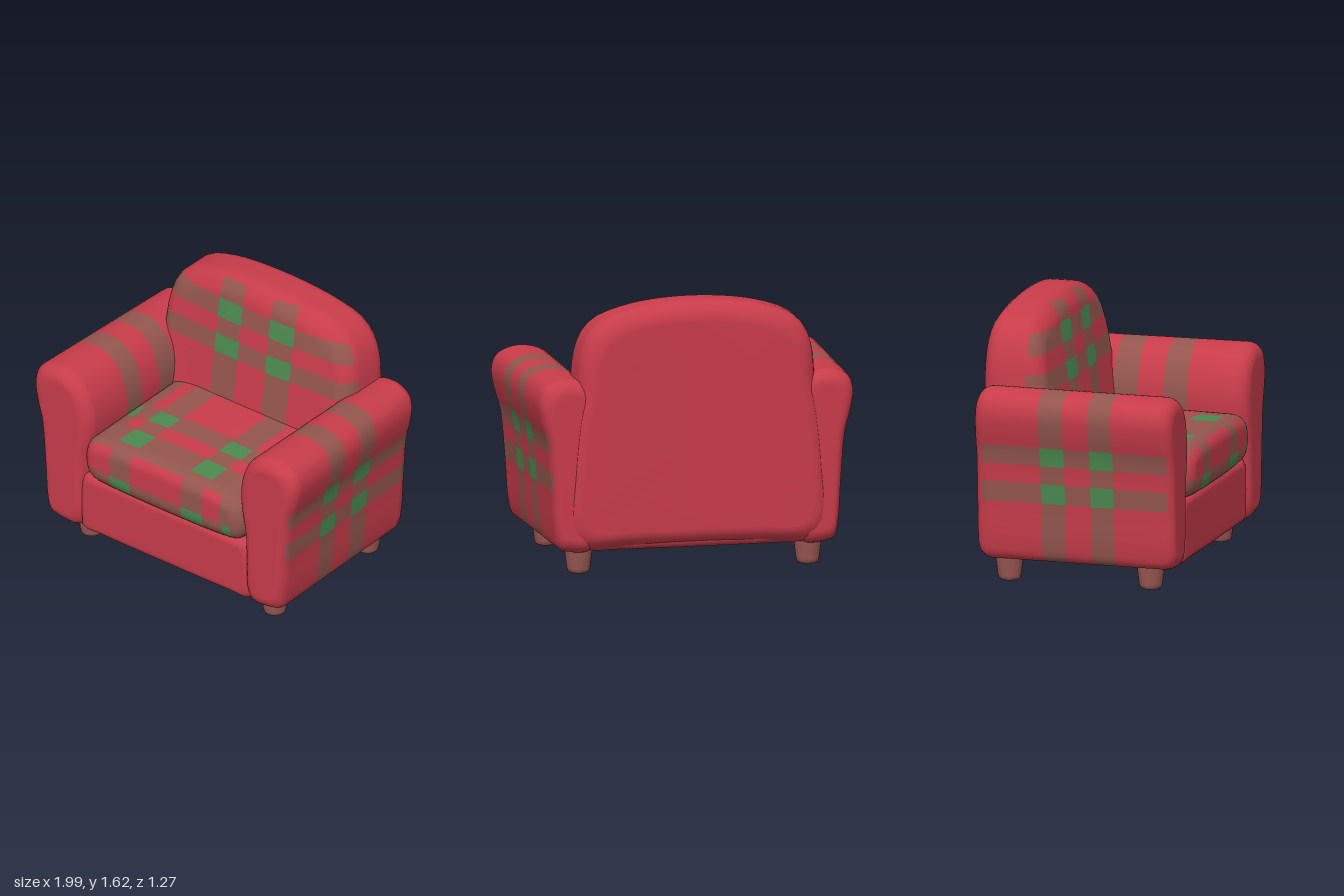
import * as THREE from 'three';
import { mergeVertices } from 'three/addons/utils/BufferGeometryUtils.js';

const mat = (name, color) => Object.assign(new THREE.MeshStandardMaterial({ color }), { name });
const inside = (v, bands) => bands.some(([a, b]) => v > a && v < b);

// Mirror a right-hand outline (bottom to top) into a closed one
const mirrored = (half) => [...half, ...half.map(([x, y]) => [-x, y]).reverse()];

// Upholstered block: a soft closed outline lofted along z with rounded ends
function loft(outline, z0, z1, round, deform = () => {}) {
  const curve = new THREE.CatmullRomCurve3(outline.map(([x, y]) => new THREE.Vector3(x, y, 0)), true);
  const pts = curve.getSpacedPoints(80);
  const box = new THREE.Box3().setFromPoints(pts);
  const mid = box.getCenter(new THREE.Vector3());
  const half = box.getSize(new THREE.Vector3()).multiplyScalar(0.5);

  const rings = []; // [z, inset, cap scale]
  for (const t of [0, 0.35, 0.7]) rings.push([z0, round, t]);
  for (let k = 0; k <= 7; k++) {
    const a = (k / 7) * Math.PI / 2;
    rings.push([z0 + round * (1 - Math.cos(a)), round * (1 - Math.sin(a)), 1]);
  }
  const back = rings.slice().reverse();
  for (const t of [0.25, 0.5, 0.75]) rings.push([z0 + round + (z1 - z0 - 2 * round) * t, 0, 1]);
  for (const [z, inset, t] of back) rings.push([z1 - (z - z0), inset, t]);

  const pos = [], index = [], n = pts.length, v = new THREE.Vector3();
  rings.forEach(([z, inset, t], i) => pts.forEach((p, j) => {
    v.set(
      mid.x + (p.x - mid.x) * t * (1 - inset / half.x),
      mid.y + (p.y - mid.y) * t * (1 - inset / half.y), z);
    deform(v);
    pos.push(v.x, v.y, v.z);
    if (i < rings.length - 1 && j < n - 1) {
      const a = i * n + j, c = a + n;
      index.push(a, a + 1, c + 1, a, c + 1, c);
    }
  }));
  const geo = new THREE.BufferGeometry();
  geo.setAttribute('position', new THREE.Float32BufferAttribute(pos, 3));
  geo.setIndex(index);
  const merged = mergeVertices(geo, 1e-5);
  merged.computeVertexNormals();
  return merged;
}

// Cut the surface along axis planes, then sort its triangles into colour groups
function paint(geo, cuts, rule) {
  const P = geo.attributes.position, N = geo.attributes.normal, I = geo.index.array;
  const vert = (i) => [P.getX(i), P.getY(i), P.getZ(i), N.getX(i), N.getY(i), N.getZ(i)];
  let tris = [];
  for (let i = 0; i < I.length; i += 3) tris.push([vert(I[i]), vert(I[i + 1]), vert(I[i + 2])]);
  cuts.forEach((values, axis) => values.forEach((c) => {
    const next = [];
    for (const tri of tris) {
      if (tri.every((p) => p[axis] >= c) || tri.every((p) => p[axis] <= c)) { next.push(tri); continue; }
      for (const sign of [1, -1]) {
        const poly = [];
        tri.forEach((p, k) => {
          const q = tri[(k + 1) % 3], dp = (p[axis] - c) * sign, dq = (q[axis] - c) * sign;
          if (dp >= 0) poly.push(p);
          if (dp * dq < 0) poly.push(p.map((s, m) => s + (q[m] - s) * dp / (dp - dq)));
        });
        for (let k = 1; k < poly.length - 1; k++) next.push([poly[0], poly[k], poly[k + 1]]);
      }
    }
    tris = next;
  }));
  const sorted = [[], [], []];
  for (const t of tris) {
    const [x, y, z] = [0, 1, 2].map((a) => (t[0][a] + t[1][a] + t[2][a]) / 3);
    sorted[rule(x, y, z)].push(t);
  }
  const out = new THREE.BufferGeometry(), pos = [], nor = [];
  sorted.forEach((list, m) => {
    out.addGroup(pos.length / 3, list.length * 3, m);
    for (const p of list.flat()) { pos.push(p[0], p[1], p[2]); nor.push(p[3], p[4], p[5]); }
  });
  out.setAttribute('position', new THREE.Float32BufferAttribute(pos, 3));
  out.setAttribute('normal', new THREE.Float32BufferAttribute(nor, 3));
  return out;
}

// 0 = plain, 1 = one stripe, 2 = crossing stripes
const plaid = (a, b) => (a ? 1 : 0) + (b ? 1 : 0);

export function createModel() {
  const chair = new THREE.Group();
  chair.name = 'armchair';
  const red = mat('red fabric', 0xc83c4a);
  const brown = mat('brown stripe', 0x94564e);
  const green = mat('green check', 0x4b8a50);
  const wood = mat('leg wood', 0x9a5852);
  const fabric = [red, brown, green];
  const add = (name, geo, material) => {
    const mesh = new THREE.Mesh(geo, material);
    mesh.name = name;
    chair.add(mesh);
    return mesh;
  };

  // Base under the cushion
  add('base', loft(mirrored([[0.5, 0.14], [0.63, 0.145], [0.64, 0.2], [0.64, 0.45], [0.62, 0.52], [0.5, 0.53]]),
    -0.58, 0.6, 0.05), red);

  // Arms with scrolled tops, narrowing slightly towards the back
  const armOutline = [
    [0.66, 0.14], [0.8, 0.14], [0.87, 0.165], [0.895, 0.25], [0.915, 0.5], [0.945, 0.8], [0.985, 0.94],
    [1.0, 1.05], [0.97, 1.13], [0.88, 1.175], [0.78, 1.18], [0.68, 1.145], [0.605, 1.06], [0.565, 0.93],
    [0.565, 0.8], [0.6, 0.6], [0.61, 0.4], [0.62, 0.2],
  ];
  const armZ = [[-0.21, -0.06], [0.1, 0.245]], armY = [[0.51, 0.63], [0.74, 0.855]];
  for (const side of [1, -1]) {
    const outline = armOutline.map(([x, y]) => [x * side, y]);
    if (side < 0) outline.reverse();
    const geo = loft(outline, -0.62, 0.615, 0.085, (v) => {
      const out = Math.max(0, (Math.abs(v.x) - 0.6) / 0.4);
      v.x -= side * out * 0.05 * (0.6 - v.z) / 1.2;
    });
    const cuts = [[0.75 * side], armY.flat(), [...armZ.flat(), -0.58, 0.58]];
    add(side > 0 ? 'leftArm' : 'rightArm', paint(geo, cuts, (x, y, z) =>
      plaid(inside(z, armZ), Math.abs(x) > 0.75 && Math.abs(z) < 0.58 && inside(y, armY))), fabric);
  }

  // Backrest reaching down to the base, its front leaning back
  const backGeo = loft(mirrored([
    [0.4, 0.14], [0.74, 0.15], [0.81, 0.24], [0.8, 0.6], [0.76, 0.95], [0.72, 1.14], [0.71, 1.28],
    [0.665, 1.43], [0.58, 1.52], [0.4, 1.585], [0.15, 1.62],
  ]), -0.64, -0.25, 0.12, (v) => {
    v.z -= (v.y - 1.18) * 0.15 * (v.z + 0.64) / 0.39;
    v.z += 0.02 * Math.max(0, 1 - (v.x / 0.5) ** 2);
  });
  const backX = [[-0.28, -0.1], [0.11, 0.29]], backY = [[1.125, 1.24], [1.35, 1.47]];
  add('backrest', paint(backGeo, [backX.flat(), [...backY.flat(), 1.59], [-0.36]], (x, y, z) =>
    z < -0.36 || y > 1.59 ? 0 : plaid(inside(x, backX), inside(y, backY))), fabric);

  // Seat cushion, a little higher at the back
  const seatGeo = loft(mirrored([
    [0.45, 0.51], [0.56, 0.53], [0.6, 0.6], [0.6, 0.72], [0.565, 0.8], [0.45, 0.84], [0.2, 0.855],
  ]), -0.32, 0.635, 0.1, (v) => {
    if (v.y > 0.7) v.y -= 0.02 * (v.z + 0.25) / 0.88 * (v.y - 0.7) / 0.15;
  });
  const seatX = [[-0.38, -0.23], [0.16, 0.32]], seatZ = [[0.13, 0.27], [0.385, 0.6]];
  const checkZ = [[0.15, 0.27], [0.39, 0.54]], tabX = [[-0.56, -0.5], [0.47, 0.525]];
  const seatCuts = [[...seatX.flat(), ...tabX.flat(), -0.47, 0.45], [0.63], [...seatZ.flat(), ...checkZ.flat(), 0.56]];
  add('seatCushion', paint(seatGeo, seatCuts, (x, y, z) => {
    const low = y < 0.63 && z > 0.54;
    const across = low || inside(z, seatZ);
    const main = inside(x, seatX);
    const edge = x > 0.45 || (x < -0.47 && z < 0.56);
    const tab = inside(x, tabX) && (inside(z, checkZ.slice(0, 1)) || (x > 0 && low));
    if ((main && (low || inside(z, checkZ))) || tab) return 2;
    return across || main || edge ? 1 : 0;
  }), fabric);

  // Four tapered feet
  const legGeo = new THREE.LatheGeometry(
    [[0, 0], [0.052, 0], [0.064, 0.008], [0.07, 0.03], [0.088, 0.17]].map(([r, y]) => new THREE.Vector2(r, y)), 24);
  for (const [end, z] of [['front', 0.41], ['back', -0.465]])
    for (const [side, x] of [['Left', 0.695], ['Right', -0.695]])
      add(end + side + 'Leg', legGeo, wood).position.set(x, 0, z);

  return chair;
}
